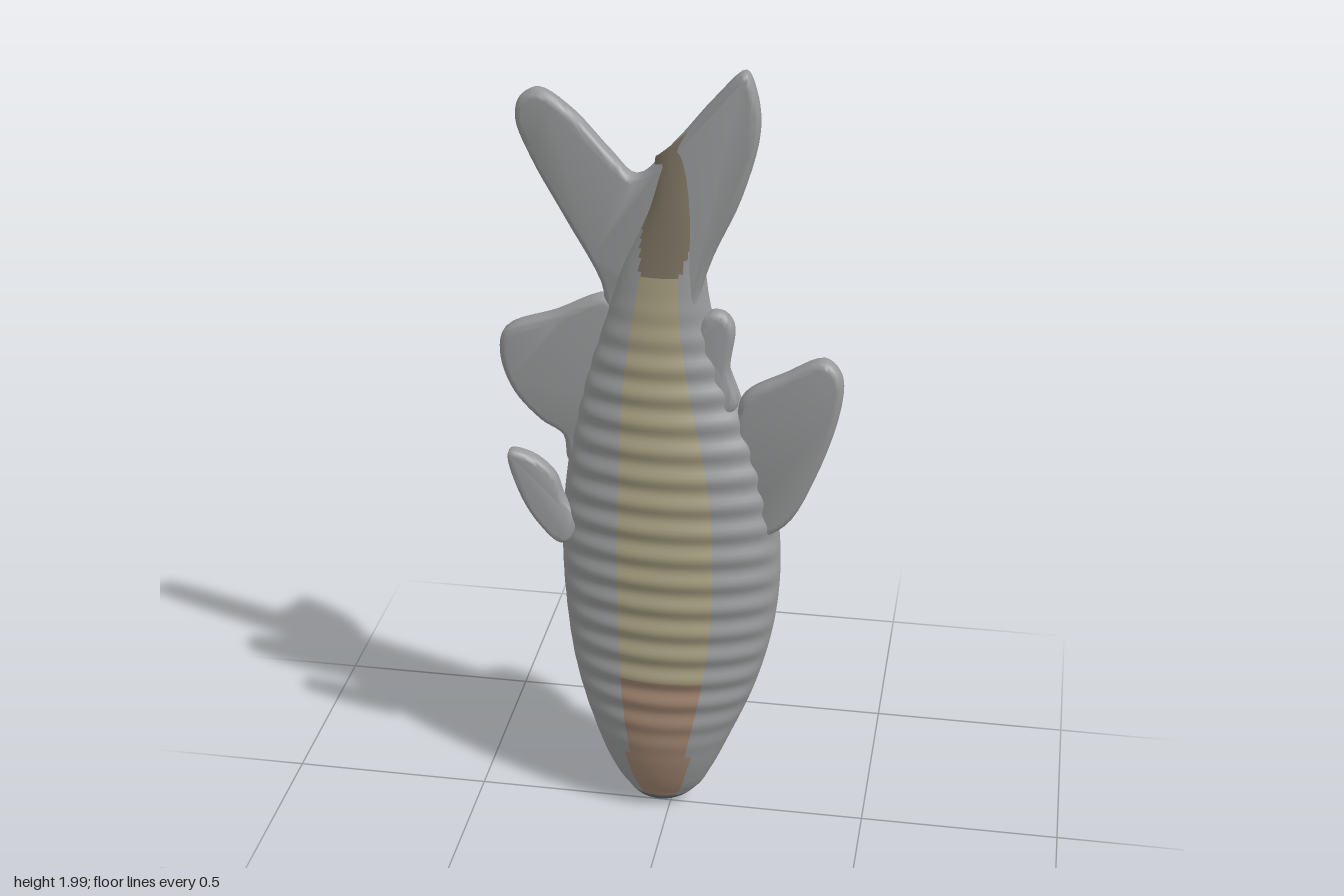
import * as THREE from 'three';
import { toCreasedNormals } from 'three/addons/utils/BufferGeometryUtils.js';

const COLORS = {
  skin: 0x98999a, belly: 0xa59d80, throat: 0xa08470, bellyTail: 0x7d7462,
  back: 0x7b7e68, crown: 0x8c7d72, snout: 0x94864e, backTail: 0x50534f, lips: 0x5f6e78,
};
const paint = (name) => new THREE.MeshStandardMaterial({ color: COLORS[name] });

// Body stations: height, left edge, right edge, half depth, depth offset
const STATIONS = [
  [0.005, -0.03, -0.03, 0.0, -0.01],
  [0.02, -0.075, 0.02, 0.03, -0.01],
  [0.06, -0.115, 0.07, 0.05, -0.005],
  [0.12, -0.15, 0.105, 0.07, 0],
  [0.22, -0.19, 0.15, 0.094, 0],
  [0.4, -0.24, 0.22, 0.107, 0],
  [0.6, -0.265, 0.265, 0.111, 0],
  [0.8, -0.27, 0.272, 0.11, 0],
  [1.0, -0.25, 0.24, 0.101, 0],
  [1.2, -0.21, 0.165, 0.083, 0.002],
  [1.4, -0.15, 0.1, 0.062, 0.006],
  [1.5, -0.12, 0.085, 0.052, 0.009],
  [1.65, -0.06, 0.08, 0.041, 0.013],
  [1.81, -0.032, 0.072, 0.024, 0.015],
];

// Colour of a body facet from its height, cross position (-1..1) and side
function zone(y, s, front) {
  if (y < 0.045) return 'lips';
  const band = 0.4 + 0.12 * THREE.MathUtils.smoothstep(0.35 - y, 0, 0.25)
    + 0.6 * THREE.MathUtils.smoothstep(y, 1.45, 1.7);
  if (Math.abs(s) > band) return 'skin';
  if (front) return y < 0.43 ? 'throat' : y < 1.5 ? 'belly' : 'bellyTail';
  return y < 0.21 ? 'snout' : y < 0.42 ? 'crown' : y < 1.42 ? 'back' : 'backTail';
}

// Lens-shaped rings with shallow ribs, split into colour groups
function makeBody() {
  const rows = 200, cols = 56;
  const spline = new THREE.CubicInterpolant(
    STATIONS.map((s) => s[0]), STATIONS.flatMap((s) => s.slice(1)), 4);
  const y0 = STATIONS[0][0], y1 = STATIONS[STATIONS.length - 1][0];
  const positions = [], buckets = {};
  const heightAt = (i) => y0 + (y1 - y0) * Math.pow(i / rows, 1.25);
  for (let i = 0; i <= rows; i++) {
    const y = heightAt(i);
    const [left, right, depth, offset] = spline.evaluate(y);
    const fade = THREE.MathUtils.smoothstep(y, 0.15, 0.4) * (1 - THREE.MathUtils.smoothstep(y, 1.2, 1.5));
    const slant = 0.9 * THREE.MathUtils.smoothstep(y, 1.6, y1);
    for (let j = 0; j < cols; j++) {
      const a = (j / cols) * Math.PI * 2, c = Math.cos(a);
      const x = (left + right) / 2 + ((right - left) / 2) * Math.sin(a);
      const rib = 0.0045 * fade * Math.sin((y / 0.07) * Math.PI * 2) * Math.min(1, Math.abs(c) * 2);
      const z = Math.sign(c) * (Math.max(0, depth) * Math.pow(Math.abs(c), 1.15) + rib);
      positions.push(x, y + x * slant, z + offset);
    }
  }
  for (let i = 0; i < rows; i++) {
    for (let j = 0; j < cols; j++) {
      const mid = ((j + 0.5) / cols) * Math.PI * 2;
      const key = zone(heightAt(i + 0.5), Math.sin(mid), Math.cos(mid) > 0);
      const k = (j + 1) % cols;
      const a = i * cols + j, b = i * cols + k, c = a + cols, d = b + cols;
      (buckets[key] ??= []).push(a, b, c, b, d, c);
    }
  }
  const geometry = new THREE.BufferGeometry();
  geometry.setAttribute('position', new THREE.Float32BufferAttribute(positions, 3));
  const index = [], materials = [];
  for (const [key, list] of Object.entries(buckets)) {
    geometry.addGroup(index.length, list.length, materials.length);
    materials.push(paint(key));
    index.push(...list);
  }
  geometry.setIndex(index);
  geometry.computeVertexNormals();
  const mesh = new THREE.Mesh(geometry, materials);
  mesh.name = 'body';
  return mesh;
}

// Soft-edged slab from an outline, leaning in depth: z = lean * x + offset
function makeFin(name, outline, half, lean, offset) {
  const curve = new THREE.CatmullRomCurve3(
    outline.map(([x, y]) => new THREE.Vector3(x, y, 0)), true, 'centripetal');
  const points = curve.getPoints(outline.length * 5).slice(0, -1);
  const bevel = half * 0.8;
  let geometry = new THREE.ExtrudeGeometry(
    new THREE.Shape(points.map((p) => new THREE.Vector2(p.x, p.y))), {
      depth: 2 * (half - bevel), bevelThickness: bevel, bevelSize: bevel * 0.8,
      bevelOffset: -bevel * 0.8, bevelSegments: 4, steps: 1,
    });
  geometry.translate(0, 0, bevel - half);
  const pos = geometry.attributes.position;
  for (let i = 0; i < pos.count; i++) {
    pos.setZ(i, pos.getZ(i) - (half - bevel) - (bevel - half) + lean * pos.getX(i) + offset);
  }
  geometry = toCreasedNormals(geometry, 0.9);
  const mesh = new THREE.Mesh(geometry, paint('skin'));
  mesh.name = name;
  return mesh;
}

export function createModel() {
  const fish = new THREE.Group();
  fish.name = 'fish';
  fish.add(makeBody());

  // Forked tail
  fish.add(makeFin('tailFin', [
    [-0.14, 1.36], [-0.165, 1.46], [-0.25, 1.61], [-0.33, 1.75], [-0.365, 1.84], [-0.355, 1.89],
    [-0.31, 1.915], [-0.23, 1.87], [-0.14, 1.78], [-0.08, 1.73], [0.01, 1.815], [0.105, 1.93],
    [0.175, 1.997], [0.2, 1.95], [0.21, 1.86], [0.17, 1.7], [0.105, 1.55], [0.075, 1.455], [0.06, 1.35],
  ], 0.027, 0.115, 0.012));

  // Fins on the right edge
  fish.add(makeFin('rightRearFin', [
    [-0.15, 1.425], [-0.28, 1.37], [-0.405, 1.315], [-0.417, 1.245], [-0.385, 1.155], [-0.32, 1.085],
    [-0.265, 1.05], [-0.25, 0.98], [-0.15, 1.0], [-0.1, 1.2], [-0.1, 1.38],
  ], 0.03, 0.05, 0));
  fish.add(makeFin('rightSmallFin', [
    [-0.39, 1.02], [-0.335, 1.01], [-0.28, 0.96], [-0.255, 0.89], [-0.2, 0.82], [-0.265, 0.77],
    [-0.32, 0.82], [-0.37, 0.915],
  ], 0.022, -0.11, 0));

  // Fins on the left edge
  fish.add(makeFin('leftLargeFin', [
    [0.16, 1.14], [0.18, 1.2], [0.275, 1.26], [0.37, 1.307], [0.41, 1.27], [0.412, 1.19],
    [0.355, 0.995], [0.285, 0.86], [0.2, 0.82], [0.13, 0.95],
  ], 0.027, 0.06, 0));
  fish.add(makeFin('leftRearFin', [
    [0.09, 1.405], [0.13, 1.408], [0.155, 1.375], [0.145, 1.26], [0.165, 1.17], [0.08, 1.12], [0.05, 1.3],
  ], 0.026, 0.0, 0.018));

  return fish;
}
